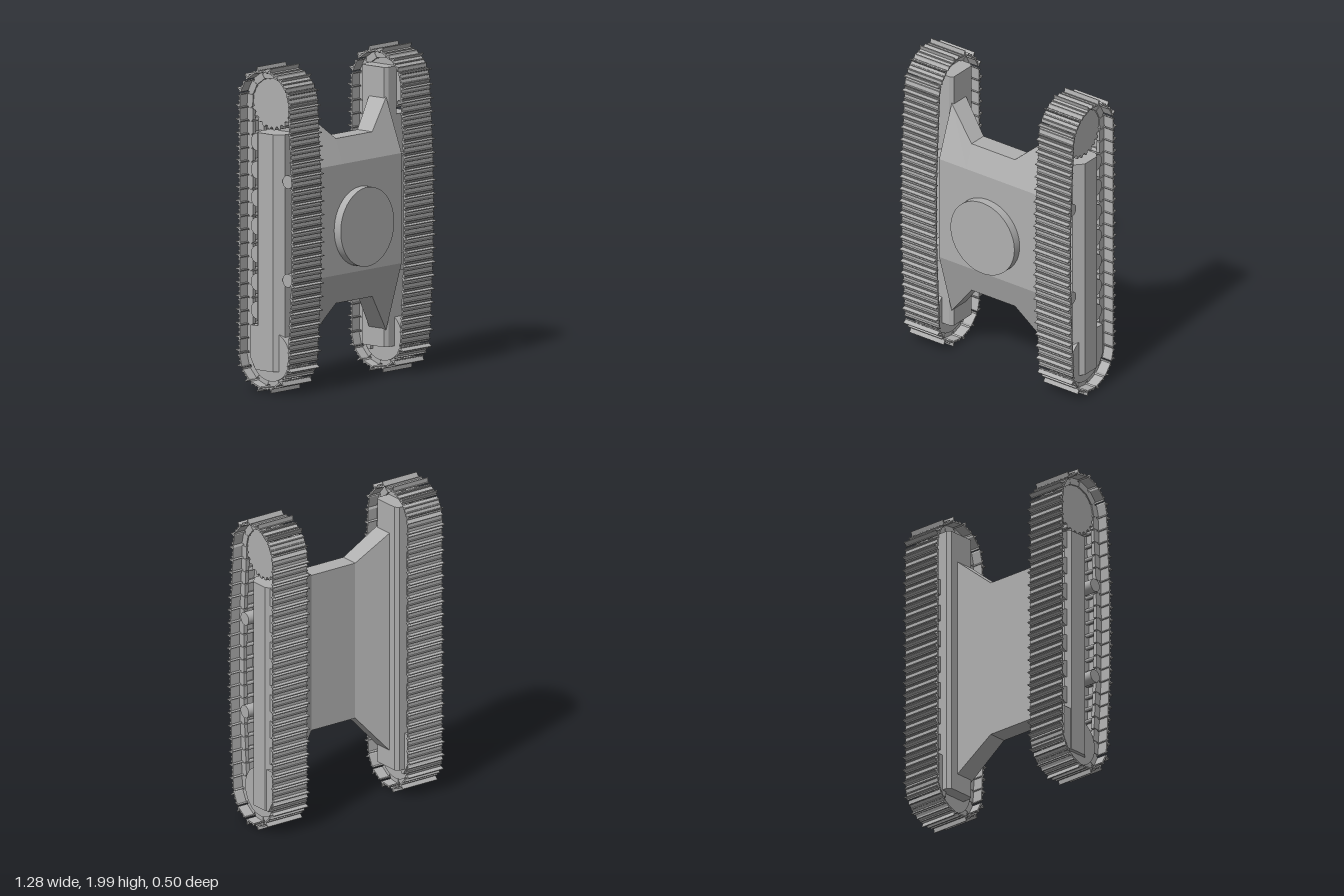
import * as THREE from 'three';
import { mergeGeometries } from 'three/addons/utils/BufferGeometryUtils.js';

const TRACK_X = 0.51;      // centre of each track
const SHOES = 50;
const TOP = [-0.02, 1.77]; // sprocket centre (z, y)
const LOW = [-0.02, 0.23]; // idler centre (z, y)
const CHAIN_R = 0.172;

// Extrude a (z, y) outline along x
function extrudeX(points, x0, x1) {
  const shape = new THREE.Shape(points.map(([z, y]) => new THREE.Vector2(-z, y)));
  const g = new THREE.ExtrudeGeometry(shape, { depth: x1 - x0, bevelEnabled: false });
  return g.rotateY(Math.PI / 2).translate(x0, 0, 0);
}

// Extrude an (x, z) outline along y
function extrudeY(points, y0, y1) {
  const shape = new THREE.Shape(points.map(([x, z]) => new THREE.Vector2(x, -z)));
  const g = new THREE.ExtrudeGeometry(shape, { depth: y1 - y0, bevelEnabled: false });
  return g.rotateX(-Math.PI / 2).translate(0, y0, 0);
}

function cylinderX(r, length, x, y, z, sides = 32) {
  return new THREE.CylinderGeometry(r, r, length, sides).rotateZ(Math.PI / 2).translate(x, y, z);
}

function box(w, h, d, x, y, z) {
  return new THREE.BoxGeometry(w, h, d).translate(x, y, z);
}

// Centre body: the same six-point section at four stations across x
function bodyGeometry() {
  const section = (x, yT, zT, yB, zB, back) => [
    [yT, zT], [1.37, 0.195], [0.695, 0.195], [yB, zB], [yB, back], [yT, back],
  ].map(([y, z]) => [x, y, z]);
  const outer = [1.7, 0.07, 0.27, 0.07, -0.065];
  const inner = [1.52, 0.14, 0.51, 0.14, 0.02];
  const s = [
    section(-0.37, ...outer), section(-0.165, ...inner),
    section(0.165, ...inner), section(0.37, ...outer),
  ];
  const pos = [];
  const tri = (...p) => p.forEach((v) => pos.push(...v));
  for (let i = 0; i < 3; i++) {
    for (let j = 0; j < 6; j++) {
      const k = (j + 1) % 6, a = s[i], b = s[i + 1];
      tri(a[j], a[k], b[k]);
      tri(a[j], b[k], b[j]);
    }
  }
  for (let j = 1; j < 5; j++) {
    tri(s[3][0], s[3][j], s[3][j + 1]);
    tri(s[0][0], s[0][j + 1], s[0][j]);
  }
  const g = new THREE.BufferGeometry();
  g.setAttribute('position', new THREE.Float32BufferAttribute(pos, 3));
  g.computeVertexNormals();
  return g;
}

// Chain loop: up the front, over the sprocket, down the back, round the idler
function chainPath() {
  const pts = [];
  const arc = ([z, y], from) => {
    for (let i = 0; i <= 24; i++) {
      const a = from + (Math.PI * i) / 24;
      pts.push(new THREE.Vector3(0, y + CHAIN_R * Math.sin(a), z + CHAIN_R * Math.cos(a)));
    }
  };
  arc(TOP, 0);
  arc(LOW, Math.PI);
  pts.push(new THREE.Vector3(0, 0.7, 0.178), new THREE.Vector3(0, 1.0, 0.181), new THREE.Vector3(0, 1.31, 0.178));
  const path = new THREE.CurvePath();
  pts.forEach((p, i) => path.add(new THREE.LineCurve3(p, pts[(i + 1) % pts.length])));
  return path;
}

// Shoe plate with one tall and two low ribs; outline is (along, outward)
function shoeGeometry() {
  const outline = [
    [-0.046, 0.014], [-0.038, 0.022], [0.034, 0.022], [0.044, 0.028], [0.042, 0.034], [0.035, 0.032],
    [0.031, 0.058], [0.025, 0.058], [0.023, 0.031], [0.006, 0.031], [0.004, 0.038], [-0.002, 0.038],
    [-0.004, 0.031], [-0.024, 0.031], [-0.027, 0.04], [-0.032, 0.04], [-0.036, 0.031], [-0.05, 0.02],
  ];
  const shape = new THREE.Shape(outline.map((p) => new THREE.Vector2(...p)));
  return new THREE.ExtrudeGeometry(shape, { depth: 0.26, bevelEnabled: false }).translate(0, 0, -0.13);
}

// Chain link: two side rails and a pin
function linkGeometry() {
  return mergeGeometries([
    box(0.074, 0.044, 0.025, 0, 0, 0.05),
    box(0.074, 0.044, 0.025, 0, 0, -0.05),
    new THREE.CylinderGeometry(0.012, 0.012, 0.12, 8).rotateX(Math.PI / 2).translate(0.04, 0, 0),
  ]);
}

function repeatAlongChain(geometry, centreX) {
  const path = chainPath();
  const X = new THREE.Vector3(1, 0, 0);
  const pts = path.getSpacedPoints(SHOES * 2);
  const parts = [];
  for (let i = 0; i < SHOES; i++) {
    const p = pts[i * 2 + 1];
    const t = pts[i * 2 + 2].clone().sub(pts[i * 2]).normalize();
    const n = new THREE.Vector3().crossVectors(X, t);
    const m = new THREE.Matrix4().makeBasis(t, n, X).setPosition(centreX, p.y, p.z);
    parts.push(geometry.clone().applyMatrix4(m));
  }
  return mergeGeometries(parts);
}

function sprocketOutline() {
  const pts = [], teeth = 23;
  for (let i = 0; i < teeth; i++) {
    [[0, 0.148], [0.25, 0.148], [0.5, 0.166], [0.75, 0.166]].forEach(([f, r]) => {
      const a = ((i + f) / teeth) * Math.PI * 2;
      pts.push([TOP[0] + r * Math.cos(a), TOP[1] + r * Math.sin(a)]);
    });
  }
  return pts;
}

export function createModel() {
  const model = new THREE.Group();
  const grey = new THREE.MeshStandardMaterial({ color: 0xb0b0b0 });
  grey.name = 'steelGrey';
  const add = (parent, name, geometry) => {
    const mesh = new THREE.Mesh(geometry, grey);
    mesh.name = name;
    parent.add(mesh);
  };

  add(model, 'centreBody', bodyGeometry());
  add(model, 'slewRing', new THREE.CylinderGeometry(0.243, 0.243, 0.06, 64)
    .rotateX(Math.PI / 2).translate(0, 0.97, 0.218));

  for (const s of [1, -1]) {
    const side = new THREE.Group();
    side.name = s > 0 ? 'leftTrack' : 'rightTrack';
    model.add(side);
    const cx = s * TRACK_X;
    const span = (a, b) => (s > 0 ? [a, b] : [-b, -a]);

    add(side, 'trackShoes', repeatAlongChain(shoeGeometry(), cx));
    add(side, 'trackLinks', repeatAlongChain(linkGeometry(), cx));
    add(side, 'sprocket', extrudeX(sprocketOutline(), ...span(0.46, 0.565)));
    add(side, 'idler', cylinderX(0.155, 0.14, cx, LOW[1] - 0.01, LOW[0], 48));

    // Frame: full-height inner rail plus a shorter chamfered outer beam
    add(side, 'innerRail', extrudeY(
      [[0.362, 0.06], [0.362, -0.115], [0.385, -0.135], [0.46, -0.135], [0.46, 0.075], [0.385, 0.075]]
        .map(([x, z]) => [s * x, z]), 0.165, 1.88));
    add(side, 'outerBeam', extrudeY(
      [[0.44, 0.075], [0.555, 0.075], [0.605, 0.02], [0.605, -0.1], [0.575, -0.13], [0.44, -0.13]]
        .map(([x, z]) => [s * x, z]), 0.13, 1.585));
    add(side, 'idlerGuard', extrudeX(
      [[-0.1, 0.13], [-0.125, 0.13], [-0.165, 0.2], [-0.165, 0.4], [-0.1, 0.4]], ...span(0.42, 0.6)));

    // Rollers on the back run
    for (let i = 0; i < 7; i++) {
      add(side, 'trackRoller', cylinderX(0.055, 0.15, cx, 0.49 + i * 0.172, -0.12));
    }
    // Carrier rollers and their brackets on the front run
    for (const y of [0.7, 1.305]) {
      add(side, 'carrierBracket', box(0.09, 0.11, 0.1, s * 0.41, y, 0.115));
      add(side, 'carrierRoller', cylinderX(0.041, 0.14, s * 0.52, y, 0.127));
    }
  }
  return model;
}
